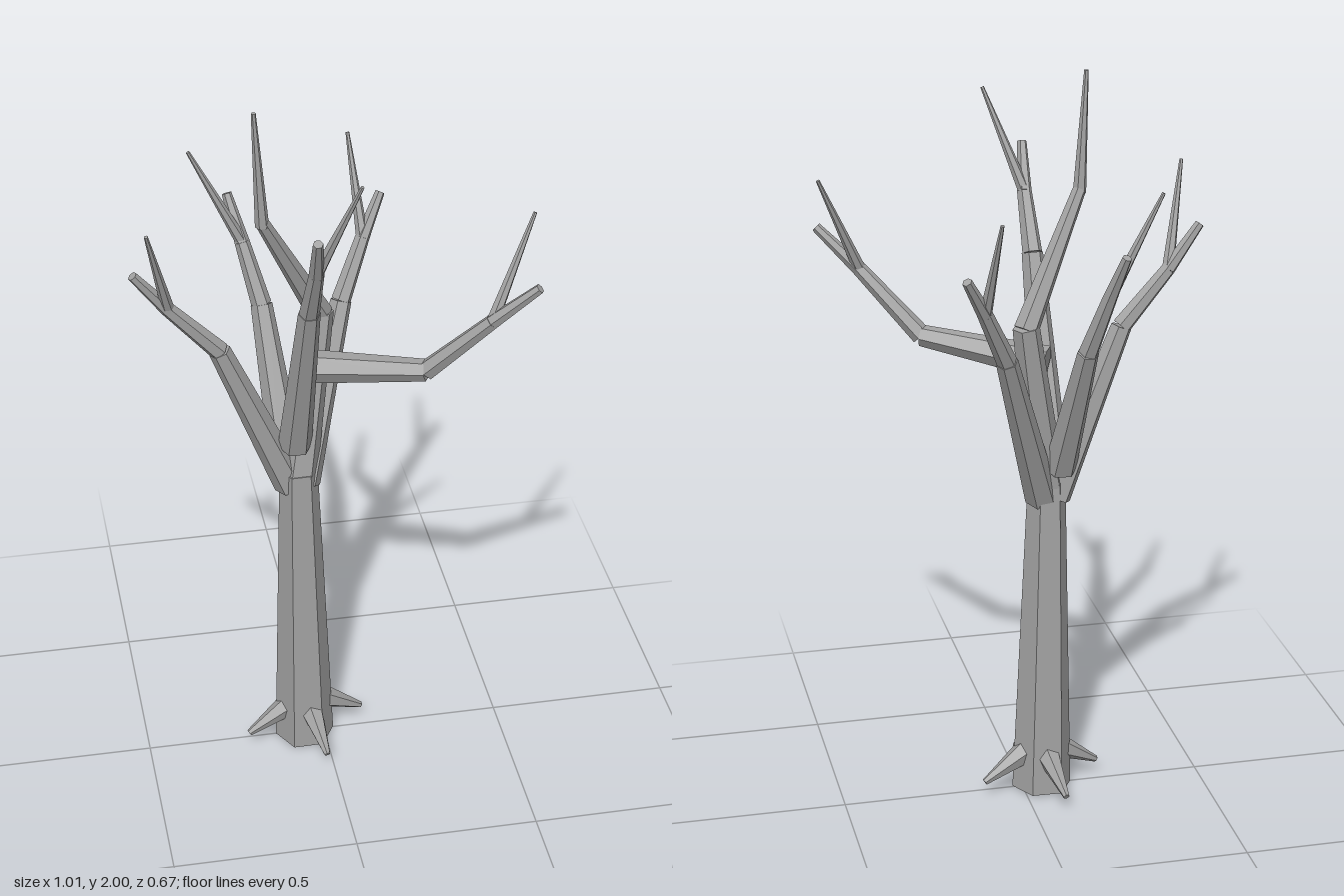
import * as THREE from 'three';

const UP = new THREE.Vector3(0, 1, 0);

export function createModel() {
  const tree = new THREE.Group();
  tree.name = 'bareTree';
  const bark = new THREE.MeshStandardMaterial({ color: 0xa2a2a2 });
  bark.name = 'grey bark';
  bark.flatShading = true;

  // Tapered six-sided limb between two points
  function limb(parent, name, from, to, r0, r1) {
    const a = new THREE.Vector3(...from);
    const b = new THREE.Vector3(...to);
    const dir = b.clone().sub(a);
    const length = dir.length();
    const geo = new THREE.CylinderGeometry(r1, r0, length, 6);
    geo.rotateY(Math.PI / 6);
    geo.translate(0, length / 2, 0);
    const mesh = new THREE.Mesh(geo, bark);
    mesh.name = name;
    mesh.quaternion.setFromUnitVectors(UP, dir.normalize());
    mesh.position.copy(a);
    parent.add(mesh);
  }

  // Trunk, bending twice before it ends in a thin tip
  const trunk = new THREE.Group();
  trunk.name = 'trunk';
  tree.add(trunk);
  limb(trunk, 'trunkBase', [-0.055, 0, 0], [-0.07, 0.91, 0.012], 0.083, 0.052);
  limb(trunk, 'trunkMiddle', [-0.07, 0.89, 0.012], [0, 1.36, -0.045], 0.052, 0.036);
  limb(trunk, 'trunkUpper', [0, 1.35, -0.045], [-0.167, 1.69, 0.062], 0.034, 0.018);
  limb(trunk, 'trunkTip', [-0.167, 1.68, 0.062], [-0.187, 2, 0.078], 0.018, 0.006);

  // Each branch: start, kink, fork, end of the blunt arm, tip of the thin twig
  const branches = {
    sideBranch: [[-0.09, 0.86, 0.005], [-0.278, 1.315, 0.037], [-0.408, 1.46, 0.052],
      [-0.497, 1.575, 0.068], [-0.468, 1.73, 0.155]],
    lowBranch: [[-0.07, 1.235, 0.018], [0.235, 1.283, 0.175], [0.385, 1.455, 0.25],
      [0.492, 1.565, 0.295], [0.5, 1.72, 0.185]],
    frontBranch: [[-0.082, 1, 0.028], [-0.07, 1.49, 0.185], [-0.065, 1.64, 0.258],
      [-0.072, 1.76, 0.32], [0.033, 1.91, 0.332]],
    backBranch: [[-0.055, 0.86, 0.005], [0.078, 1.31, -0.168], [0.147, 1.46, -0.23],
      [0.203, 1.565, -0.278], [0.125, 1.72, -0.333]],
    backSideBranch: [[-0.1, 0.95, -0.015], [-0.135, 1.32, -0.17], [-0.175, 1.48, -0.228],
      [-0.206, 1.6, -0.278], [-0.31, 1.75, -0.235]],
  };
  for (const [name, [start, kink, fork, end, tip]] of Object.entries(branches)) {
    const branch = new THREE.Group();
    branch.name = name;
    tree.add(branch);
    limb(branch, 'lowerArm', start, kink, 0.046, 0.029);
    limb(branch, 'upperArm', kink, fork, 0.027, 0.02);
    limb(branch, 'bluntEnd', fork, end, 0.02, 0.013);
    limb(branch, 'twig', fork, tip, 0.017, 0.005);
  }

  // Four short roots spread around the foot
  for (let i = 0; i < 4; i++) {
    const angle = 0.2 + i * Math.PI / 2;
    const c = Math.cos(angle), s = -Math.sin(angle);
    limb(tree, 'root', [-0.053 + c * 0.04, 0.115, s * 0.04],
      [-0.053 + c * 0.17, 0.04, s * 0.17], 0.036, 0.009);
  }
  return tree;
}
